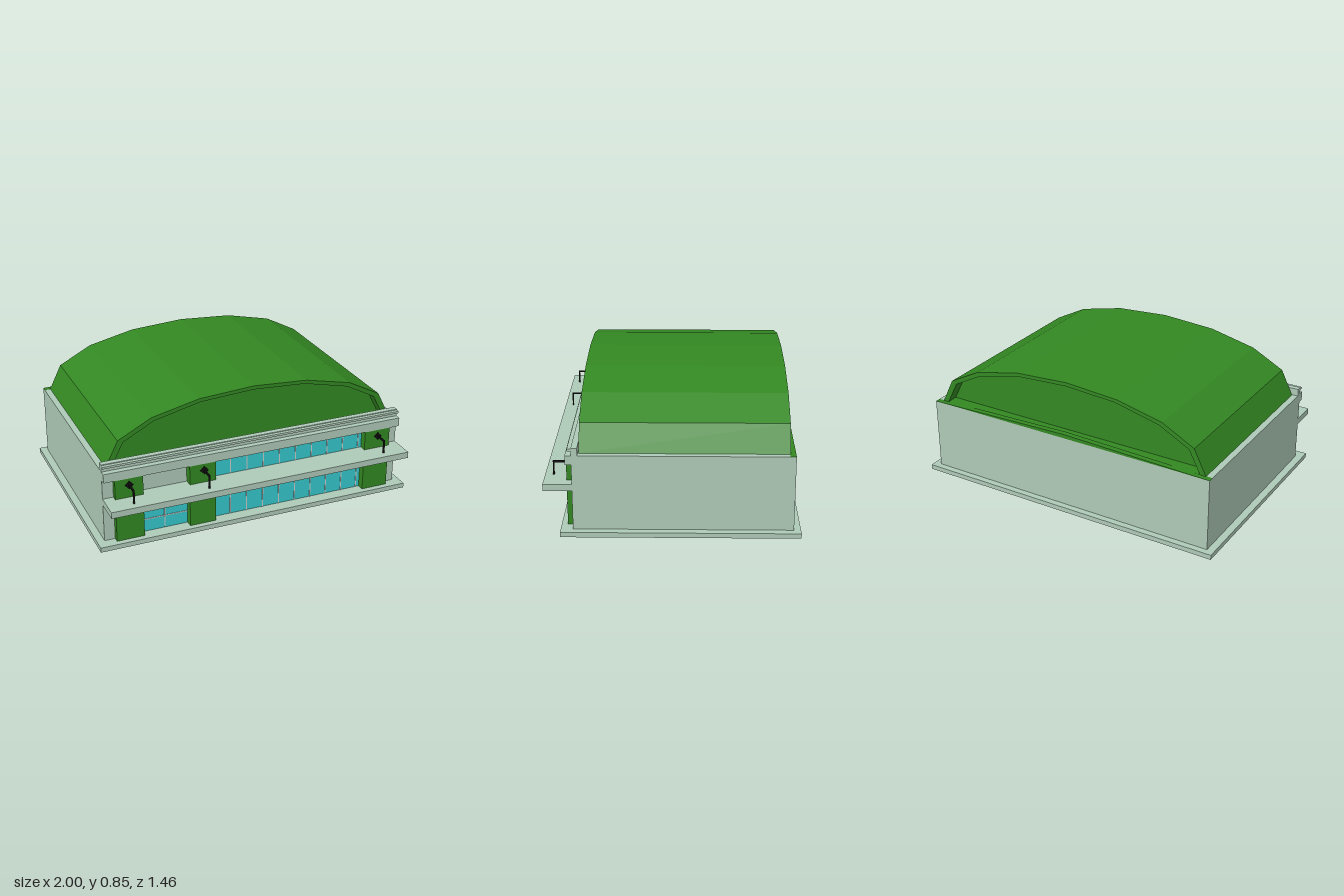
import * as THREE from 'three';

const mat = (color) => new THREE.MeshStandardMaterial({ color, flatShading: true });

export function createModel() {
  const root = new THREE.Group();
  const wall = mat(0xafcab8), green = mat(0x338822), glass = mat(0x35c8cc);
  const grey = mat(0xcccccc), black = mat(0x111111);

  const add = (name, geo, m) => {
    const mesh = new THREE.Mesh(geo, m);
    mesh.name = name;
    root.add(mesh);
    return mesh;
  };
  // Box given by its limits on each axis
  const box = (name, m, x0, x1, y0, y1, z0, z1) => {
    const mesh = add(name, new THREE.BoxGeometry(x1 - x0, y1 - y0, z1 - z0), m);
    mesh.position.set((x0 + x1) / 2, (y0 + y1) / 2, (z0 + z1) / 2);
    return mesh;
  };
  // Flat outline extruded between two z values
  const slab = (name, m, pts, z0, z1) => {
    const shape = new THREE.Shape(pts.map(([x, y]) => new THREE.Vector2(x, y)));
    const geo = new THREE.ExtrudeGeometry(shape, { depth: z1 - z0, bevelEnabled: false });
    geo.translate(0, 0, z0);
    return add(name, geo, m);
  };

  // Base and walls
  box('baseSlab', wall, -1, 1, 0.015, 0.045, -0.73, 0.635);
  box('hallBody', wall, -0.955, 0.955, 0.045, 0.495, -0.69, 0.55);
  for (const s of [-1, 1]) {
    const x = s * 0.922;
    box('cornerPier', wall, x - 0.033, x + 0.033, 0.045, 0.44, 0.54, 0.565);
  }

  // Fascia, parapet and canopy
  box('fascia', wall, -0.955, 0.955, 0.44, 0.495, 0.53, 0.6);
  box('parapet', wall, -0.955, 0.955, 0.495, 0.54, 0.53, 0.565);
  box('parapetLip', wall, -0.955, 0.955, 0.522, 0.535, 0.56, 0.587);
  box('canopy', wall, -0.955, 0.955, 0.28, 0.32, 0.545, 0.73);

  // Pillars
  for (const [x0, x1] of [[-0.89, -0.72], [-0.435, -0.27], [0.72, 0.89]])
    box('pillar', green, x0, x1, 0, 0.44, 0.53, 0.6);

  // Windows and their bars
  box('lowerWindow', glass, -0.27, 0.72, 0.045, 0.28, 0.545, 0.555);
  box('upperWindow', glass, -0.27, 0.72, 0.32, 0.44, 0.545, 0.555);
  for (let i = 0; i < 9; i++) {
    const x = -0.16 + i * 0.107;
    box('lowerMullion', grey, x - 0.003, x + 0.003, 0.045, 0.28, 0.55, 0.558);
    box('upperMullion', grey, x - 0.003, x + 0.003, 0.32, 0.44, 0.55, 0.558);
  }
  box('windowTransom', grey, -0.27, 0.72, 0.239, 0.245, 0.55, 0.558);

  // Double door
  box('doorGlass', glass, -0.72, -0.435, 0.045, 0.28, 0.545, 0.555);
  for (const y of [0.125, 0.205])
    box('doorBar', grey, -0.72, -0.435, y - 0.003, y + 0.003, 0.55, 0.558);
  box('doorSplit', grey, -0.582, -0.576, 0.05, 0.28, 0.55, 0.56);

  // Lamps: wall plate, arm and drop
  for (const x of [-0.805, -0.345, 0.808]) {
    const plate = add('lampPlate', new THREE.CylinderGeometry(0.025, 0.025, 0.01, 4), black);
    plate.rotation.x = Math.PI / 2;
    plate.position.set(x, 0.4, 0.603);
    box('lampArm', black, x - 0.005, x + 0.005, 0.395, 0.405, 0.6, 0.684);
    box('lampDrop', black, x - 0.005, x + 0.005, 0.32, 0.405, 0.676, 0.684);
  }

  // Faceted arched roof shell with recessed end walls
  const mirror = (half) => [...half, ...half.slice(0, -1).reverse().map(([x, y]) => [-x, y])];
  const outer = mirror([[-0.917, 0.495], [-0.84, 0.65], [-0.635, 0.757], [-0.343, 0.823], [0, 0.845]]);
  const inner = mirror([[-0.88, 0.495], [-0.808, 0.635], [-0.618, 0.735], [-0.332, 0.802], [0, 0.822]]);
  slab('archRoof', green, [...outer, ...inner.slice().reverse()], -0.66, 0.525);
  slab('endWalls', green, inner, -0.59, 0.455);

  // Low ridge along the back edge of the roof
  slab('backFlashing', green, [[-0.955, 0.495], [0.955, 0.495], [0, 0.52]], -0.69, -0.655);
  box('roofDeck', green, -0.915, 0.915, 0.49, 0.498, -0.66, 0.525);

  return root;
}
